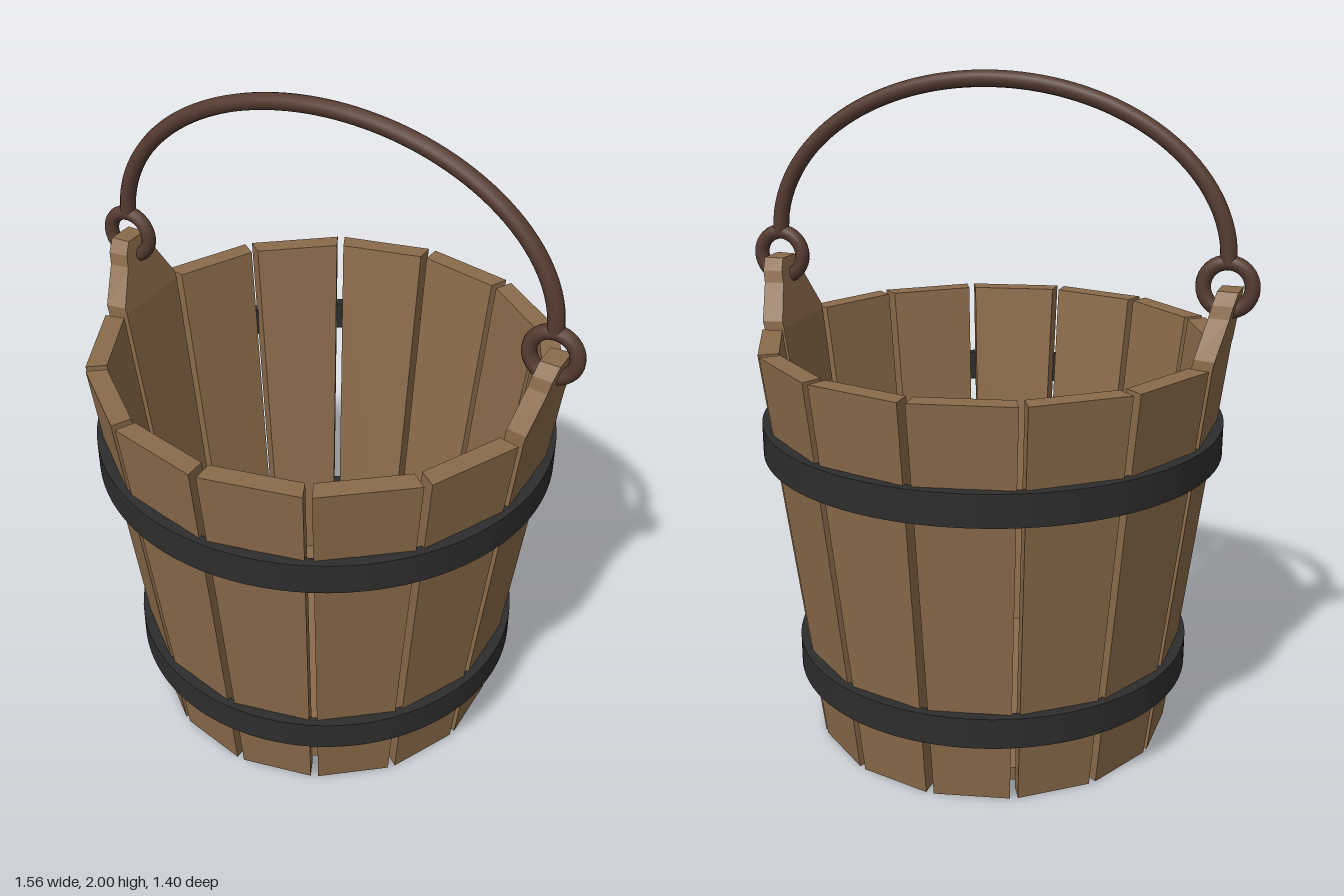
import * as THREE from 'three';

const STAVES = 14, STEP = (Math.PI * 2) / STAVES;
const RIM = 1.23, THICK = 0.06, GAP = 0.012;

// Distance from the axis to the outer stave face at height y; ears flare out more.
const flare = (y) => 0.537 + (0.148 * y) / RIM;
const earFlare = (y) => 0.685 + 0.22 * (y - RIM);
const halfWidth = (y) => flare(y) * Math.tan(STEP / 2) - GAP;

// Extrudes an outline, then leans it outward and narrows it toward the axis.
function plank(points, radiusAt) {
  const shape = new THREE.Shape(points.map(([x, y]) => new THREE.Vector2(x, y)));
  const geo = new THREE.ExtrudeGeometry(shape, { depth: 1, bevelEnabled: false });
  const p = geo.attributes.position;
  for (let i = 0; i < p.count; i++) {
    const outer = radiusAt(p.getY(i));
    const r = outer - THICK * (1 - p.getZ(i));
    p.setX(i, (p.getX(i) * r) / outer);
    p.setZ(i, r);
  }
  geo.computeVertexNormals();
  return geo;
}

export function createModel() {
  const model = new THREE.Group();
  model.name = 'bucket';
  const wood = new THREE.MeshStandardMaterial({ color: 0x8b6b4a });
  wood.name = 'wood';
  const iron = new THREE.MeshStandardMaterial({ color: 0x2d2d2d });
  iron.name = 'blackIron';
  const rust = new THREE.MeshStandardMaterial({ color: 0x553b30 });
  rust.name = 'rustyIron';

  const add = (name, geo, mat) => {
    const mesh = new THREE.Mesh(geo, mat);
    mesh.name = name;
    model.add(mesh);
    return mesh;
  };

  // Ring of tapered staves, with gaps between them
  const b = halfWidth(0), t = halfWidth(RIM);
  const staveGeo = plank([[-b, 0], [b, 0], [t, RIM], [-t, RIM]], flare);
  for (let i = 0; i < STAVES; i++) {
    add('stave', staveGeo, wood).rotation.y = (i + 0.5) * STEP;
  }

  // Floor
  add('floor', new THREE.CylinderGeometry(0.485, 0.485, 0.04, 48), wood).position.y = 0.04;

  // Flat hoops
  const hoop = (name, outer, inner, y0, y1) => {
    const shape = new THREE.Shape().absarc(0, 0, outer, 0, Math.PI * 2);
    shape.holes.push(new THREE.Path().absarc(0, 0, inner, 0, Math.PI * 2, true));
    const geo = new THREE.ExtrudeGeometry(shape, { depth: y1 - y0, bevelEnabled: false, curveSegments: 48 });
    geo.rotateX(-Math.PI / 2).translate(0, y0, 0);
    add(name, geo, iron);
  };
  hoop('upperHoop', 0.69, 0.658, 0.9, 0.995);
  hoop('lowerHoop', 0.605, 0.573, 0.2, 0.292);

  // Ears on the two side staves, each carrying a ring
  const side = [[t, RIM], [t, 1.25], [0.078, 1.355], [0.07, 1.39], [0.042, 1.425]];
  const earGeo = plank([...side, ...side.map(([x, y]) => [-x, y]).reverse()], earFlare);
  const ringGeo = new THREE.TorusGeometry(0.069, 0.022, 12, 32);
  for (const s of [1, -1]) {
    const which = s > 0 ? 'left' : 'right';
    add(which + 'Ear', earGeo, wood).rotation.y = (s * Math.PI) / 2;
    add(which + 'Ring', ringGeo, rust).position.set(s * 0.69, 1.43, 0);
  }

  // Arched handle
  const arch = [];
  for (let i = 0; i <= 24; i++) {
    const a = (Math.PI * i) / 24;
    arch.push(new THREE.Vector3(0.69 * Math.cos(a), 1.5 + 0.476 * Math.sin(a), 0));
  }
  add('handle', new THREE.TubeGeometry(new THREE.CatmullRomCurve3(arch), 64, 0.024, 12), rust);

  return model;
}
